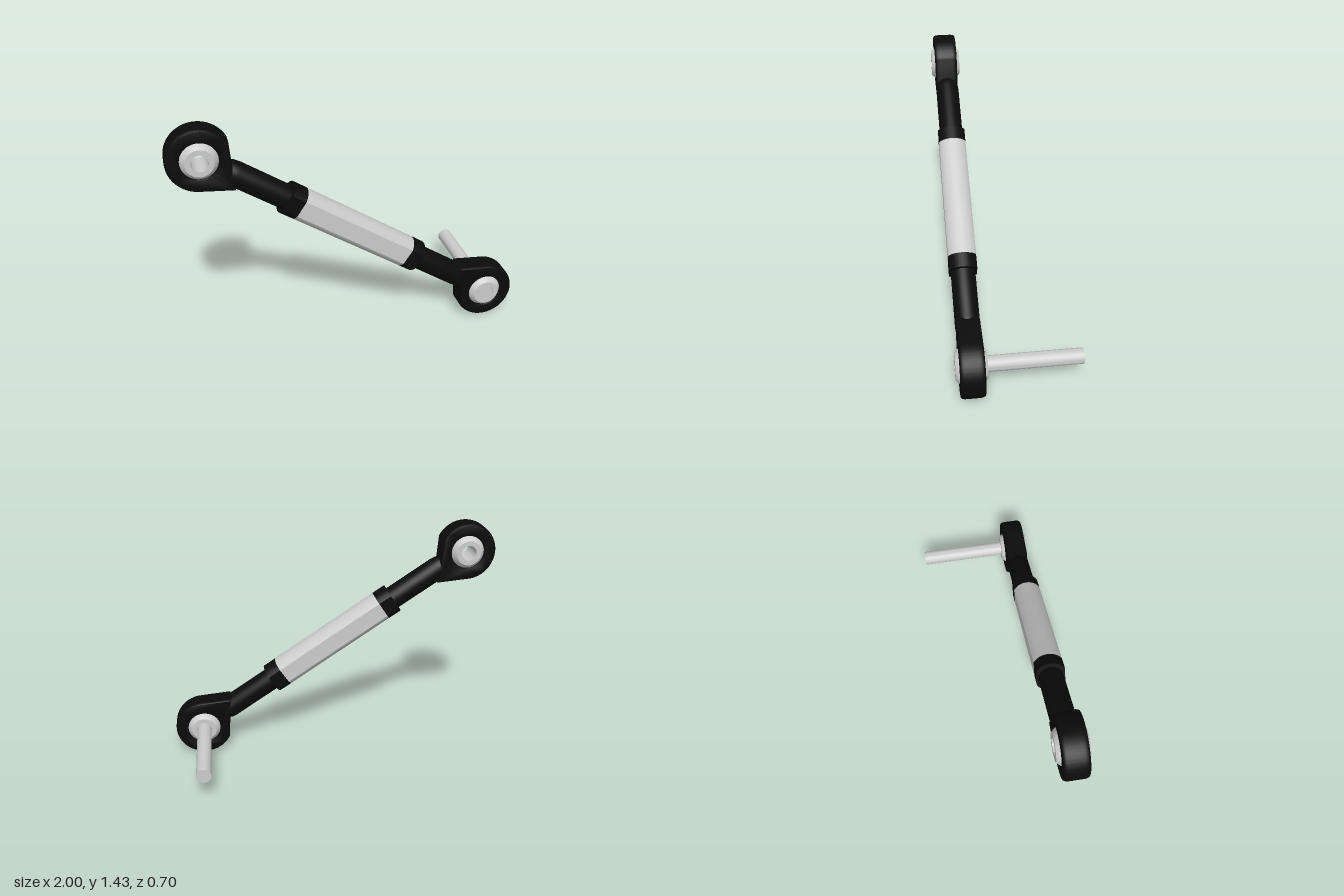
import * as THREE from 'three';
import { toCreasedNormals } from 'three/addons/utils/BufferGeometryUtils.js';

const black = new THREE.MeshStandardMaterial({ color: 0x0b0b0b });
const grey = new THREE.MeshStandardMaterial({ color: 0xcccccc });

const EYE = 0.987;      // distance of each eye from the middle of the link
const HEAD_R = 0.175;   // outer radius of a rod-end head
const ROD_R = 0.07;
const BODY_R = 0.0935;

function part(name, geometry, material, parent) {
  const mesh = new THREE.Mesh(toCreasedNormals(geometry, 0.5), material);
  mesh.name = name;
  parent.add(mesh);
  return mesh;
}

// Round bar with two flats (front and back), running along x
function flattedBar(x0, x1) {
  const a = Math.acos(0.08 / BODY_R);
  const s = new THREE.Shape();
  s.absarc(0, 0, BODY_R, a, Math.PI - a, false);
  s.absarc(0, 0, BODY_R, Math.PI + a, 2 * Math.PI - a, false);
  s.closePath();
  const g = new THREE.ExtrudeGeometry(s, { depth: x1 - x0, bevelEnabled: false, curveSegments: 24 });
  return g.rotateY(Math.PI / 2).translate(x0, 0, 0);
}

// Teardrop head: circle with tangents running down to the rod, and a round hole
function headGeometry() {
  const bevel = 0.012, thick = 0.03, half = 0.067;
  const neckX = 0.235, r = HEAD_R - bevel, neckY = ROD_R - bevel;
  const t = Math.atan2(neckY, neckX) + Math.acos(r / Math.hypot(neckX, neckY));
  const s = new THREE.Shape();
  s.moveTo(neckX, neckY);
  s.absarc(0, 0, r, t, 2 * Math.PI - t, false);
  s.lineTo(neckX, -neckY);
  s.closePath();
  const hole = new THREE.Path();
  hole.absarc(0, 0, 0.097 + bevel, 0, Math.PI * 2, true);
  s.holes.push(hole);
  const depth = 2 * (half - thick);
  return new THREE.ExtrudeGeometry(s, {
    depth, bevelSize: bevel, bevelThickness: thick, bevelSegments: 5, curveSegments: 48,
  }).translate(0, 0, -depth / 2);
}

// Truncated ball with a through bore, axis along z
function ballGeometry() {
  const R = 0.115, h = 0.087, bore = 0.046;
  const pts = [new THREE.Vector2(bore, h), new THREE.Vector2(bore, -h)];
  const a = Math.asin(h / R);
  for (let i = 0; i <= 14; i++) {
    const k = -a + (2 * a * i) / 14;
    pts.push(new THREE.Vector2(R * Math.cos(k), R * Math.sin(k)));
  }
  pts.push(new THREE.Vector2(bore, h));
  return new THREE.LatheGeometry(pts, 48).rotateX(Math.PI / 2);
}

// Threaded shank, tapering into the head, running along +x from the eye
function shankGeometry() {
  const pts = [[0, 0.14], [0.05, 0.14], [0.066, 0.18], [ROD_R, 0.215], [ROD_R, EYE - 0.44], [0, EYE - 0.44]]
    .map(([r, y]) => new THREE.Vector2(r, y));
  return new THREE.LatheGeometry(pts, 40).rotateZ(-Math.PI / 2);
}

export function createModel() {
  const model = new THREE.Group();
  model.name = 'adjustableLink';

  // Everything lies along a sloping axis
  const link = new THREE.Group();
  link.name = 'link';
  link.position.set(0, 0.716, 0.265);
  link.rotation.z = -Math.atan2(1.082, 1.65);
  model.add(link);

  part('body', flattedBar(-0.37, 0.37), grey, link);

  for (const side of [-1, 1]) {
    const label = side < 0 ? 'upper' : 'lower';
    part(label + 'Collar', side < 0 ? flattedBar(-0.455, -0.37) : flattedBar(0.37, 0.455), black, link);

    // Rod end: shank, head and ball, turned round for the lower side
    const end = new THREE.Group();
    end.name = label + 'RodEnd';
    end.position.x = side * EYE;
    end.rotation.z = side < 0 ? 0 : Math.PI;
    link.add(end);
    part('shank', shankGeometry(), black, end);
    part('head', headGeometry(), black, end);
    part('ball', ballGeometry(), grey, end);
  }

  // Pin through the lower ball, reaching out to the back
  const pin = part('pin', new THREE.CylinderGeometry(0.044, 0.044, 0.702, 40).rotateX(Math.PI / 2), grey, model);
  pin.position.set(0.825, 0.175, 0);

  return model;
}
